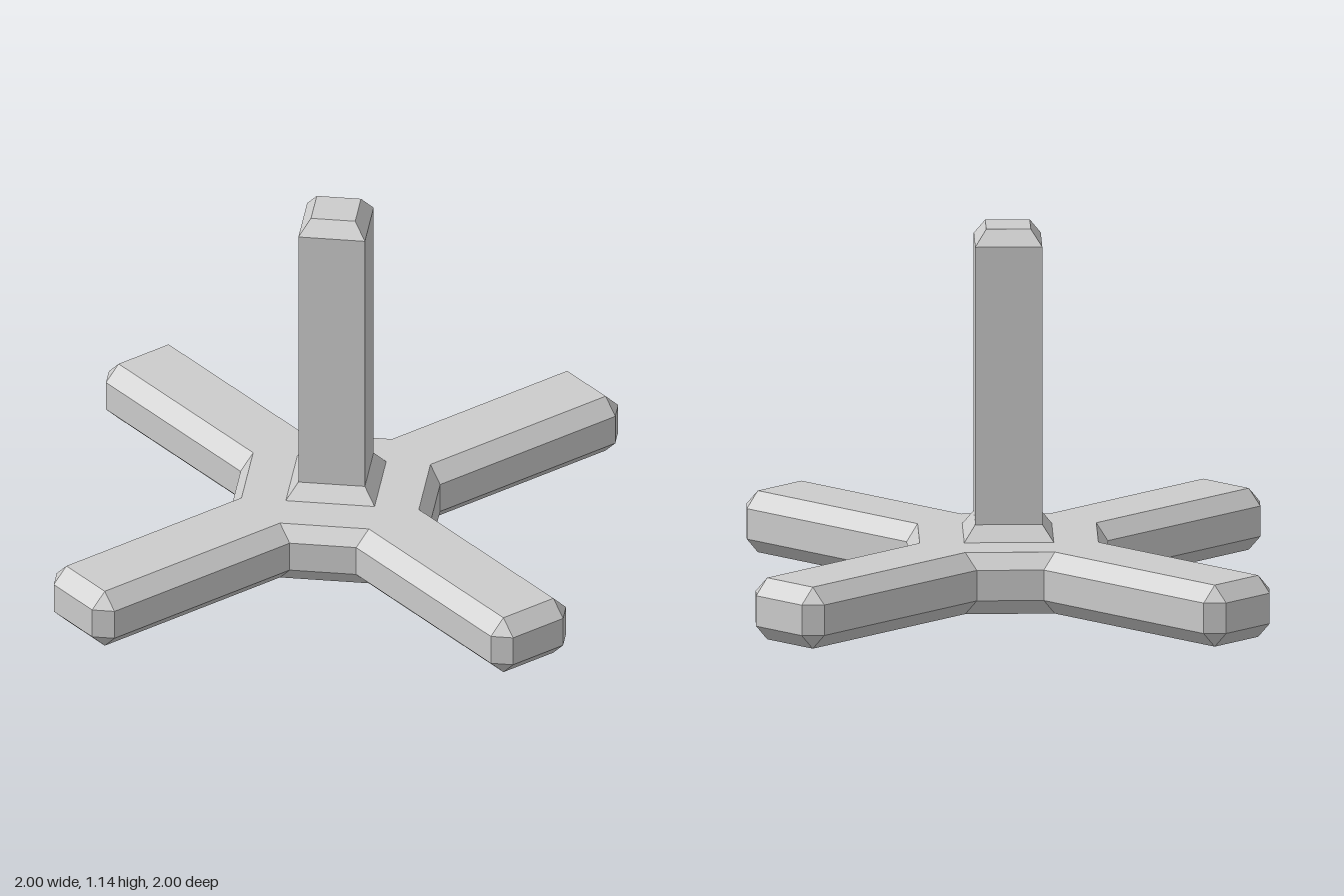
import * as THREE from 'three';

const BEVEL = 0.048, HALF = 0.143, INNER = 0.286, HEIGHT = 0.19;

// One arm's edge as [along, across]; inset rings pull the sides and tip in by the bevel
function armEdge(inset) {
  const w = HALF - BEVEL, tip = 1 - BEVEL;
  const side = inset ? w : HALF, end = inset ? tip : 1;
  return [[INNER, -side], [tip, -side], [end, -w], [end, w], [tip, side], [INNER, side]];
}

// Closed cross-shaped ring at height y
function crossRing(y, inset) {
  const ring = [];
  for (let k = 0; k < 4; k++) {
    const c = Math.round(Math.cos(k * Math.PI / 2)), s = Math.round(Math.sin(k * Math.PI / 2));
    for (const [a, b] of armEdge(inset)) ring.push(new THREE.Vector3(a * c - b * s, y, a * s + b * c));
  }
  return ring;
}

function crossGeometry() {
  const positions = [];
  const tri = (a, b, c) => {
    if (a.equals(b) || b.equals(c) || a.equals(c)) return;
    for (const p of [a, b, c]) positions.push(p.x, p.y, p.z);
  };
  const rings = [
    crossRing(0, true), crossRing(BEVEL, false),
    crossRing(HEIGHT - BEVEL, false), crossRing(HEIGHT, true),
  ];
  const n = rings[0].length;

  // Walls and bevels between neighbouring rings
  for (let r = 0; r < rings.length - 1; r++) {
    for (let i = 0; i < n; i++) {
      const j = (i + 1) % n, lo = rings[r], hi = rings[r + 1];
      tri(lo[i], hi[i], hi[j]);
      tri(lo[i], hi[j], lo[j]);
    }
  }

  // Flat underside and top: central octagon plus four arm strips
  const cap = (ring, up) => {
    const face = (a, b, c) => (up ? tri(a, c, b) : tri(a, b, c));
    const centre = new THREE.Vector3(0, ring[0].y, 0);
    for (let k = 0; k < n; k += 6) {
      face(centre, ring[k], ring[k + 5]);
      face(centre, ring[k + 5], ring[(k + 6) % n]);
      face(ring[k], ring[k + 1], ring[k + 4]);
      face(ring[k], ring[k + 4], ring[k + 5]);
    }
  };
  cap(rings[0], false);
  cap(rings[3], true);

  const geometry = new THREE.BufferGeometry();
  geometry.setAttribute('position', new THREE.Float32BufferAttribute(positions, 3));
  geometry.computeVertexNormals();
  return geometry;
}

export function createModel() {
  const model = new THREE.Group();
  model.name = 'crossStand';
  const grey = new THREE.MeshStandardMaterial({ color: 0xcccccc, flatShading: true });
  grey.name = 'light grey';

  const base = new THREE.Mesh(crossGeometry(), grey);
  base.name = 'crossBase';
  model.add(base);

  // Four-sided post turned corner-on: flared foot, shaft and bevelled tip
  const section = (name, bottomRadius, topRadius, y0, y1, open) => {
    const geometry = new THREE.CylinderGeometry(topRadius, bottomRadius, y1 - y0, 4, 1, open);
    const mesh = new THREE.Mesh(geometry, grey);
    mesh.name = name;
    mesh.position.y = (y0 + y1) / 2;
    model.add(mesh);
  };
  section('postFoot', HALF + BEVEL, HALF, HEIGHT, HEIGHT + BEVEL, true);
  section('postShaft', HALF, HALF, HEIGHT + BEVEL, 1.095, true);

  // The tip keeps its flat top face
  section('postTip', HALF, HALF - BEVEL, 1.095, 1.143, false);
  return model;
}
